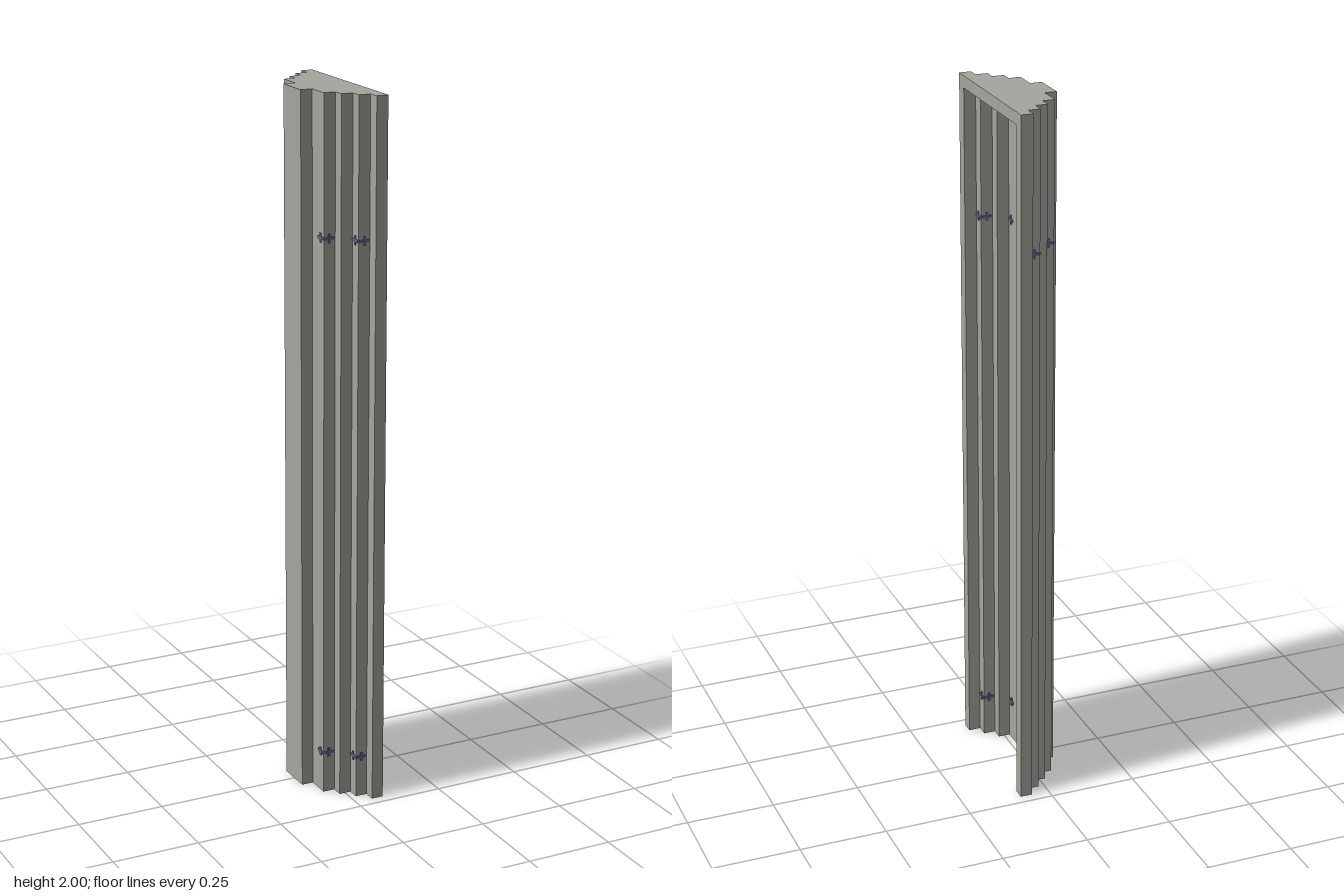
import * as THREE from 'three';

export function createModel() {
  const model = new THREE.Group();
  const stone = new THREE.MeshStandardMaterial({ color: 0xa6a69f });
  stone.name = 'warm grey shell';
  const bolt = new THREE.MeshStandardMaterial({ color: 0x62628a });
  bolt.name = 'slate blue fittings';

  const U = 0.034, H = 2; // step size, full height
  const X0 = -2.5 * U;
  // half depth of each step from the closed back to the open side
  const half = [1.5, 3.5, 4.5, 5.5, 6.5].map(n => n * U);

  const box = (name, w, h, d, x, y, z) => {
    const m = new THREE.Mesh(new THREE.BoxGeometry(w, h, d), stone);
    m.name = name;
    m.position.set(x, y, z);
    model.add(m);
  };

  // Stepped wall: one strip per step, mirrored front to back
  const wallH = H - U;
  half.forEach((d, i) => {
    const x = X0 + (i + 0.5) * U;
    if (i === 0) {
      box('spineWall', U, wallH, 2 * d, x, wallH / 2, 0);
      return;
    }
    const inner = half[i - 1];
    for (const s of [1, -1]) {
      box(s > 0 ? 'frontStepWall' : 'rearStepWall', U, wallH, d - inner, x, wallH / 2, s * (d + inner) / 2);
    }
  });

  // Cap: the whole stepped footprint
  const pts = [];
  half.forEach((d, i) => pts.push([X0 + i * U, d], [X0 + (i + 1) * U, d]));
  const outline = [...pts, ...pts.slice().reverse().map(([x, z]) => [x, -z])];
  const footprint = new THREE.Shape(outline.map(([x, z]) => new THREE.Vector2(x, z)));
  const capGeo = new THREE.ExtrudeGeometry(footprint, { depth: U, bevelEnabled: false });
  capGeo.rotateX(-Math.PI / 2);
  const cap = new THREE.Mesh(capGeo, stone);
  cap.name = 'cap';
  cap.position.y = H - U;
  model.add(cap);

  // Plus-shaped fittings that pass through the wall
  const a = 0.015, v = 0.013, t = 0.004;
  const plus = new THREE.Shape([
    [-a, -t], [-t, -t], [-t, -v], [t, -v], [t, -t], [a, -t],
    [a, t], [t, t], [t, v], [-t, v], [-t, t], [-a, t],
  ].map(p => new THREE.Vector2(...p)));
  const pin = (length) => {
    const g = new THREE.ExtrudeGeometry(plus, { depth: length, bevelEnabled: false });
    return g.translate(0, 0, -length / 2);
  };
  const proud = 0.004;

  const addFitting = (layer, y, side) => {
    const outer = half[layer], inner = half[layer - 1];
    const x = X0 + (layer + 0.5) * U;
    const g = new THREE.Group();
    g.name = 'wallFitting';
    const across = new THREE.Mesh(pin(outer - inner + proud), bolt);
    across.name = 'depthPin';
    across.position.set(x, y, side * (outer + inner) / 2);
    const through = new THREE.Mesh(pin(U + proud).rotateY(Math.PI / 2), bolt);
    through.name = 'sidePin';
    through.position.set(x, y, side * (outer - U / 2));
    g.add(across, through);
    model.add(g);
  };
  for (const layer of [1, 3]) {
    addFitting(layer, 1.61, 1);
    addFitting(layer, 1.61, -1);
    addFitting(layer, 0.12, 1);
  }
  return model;
}
